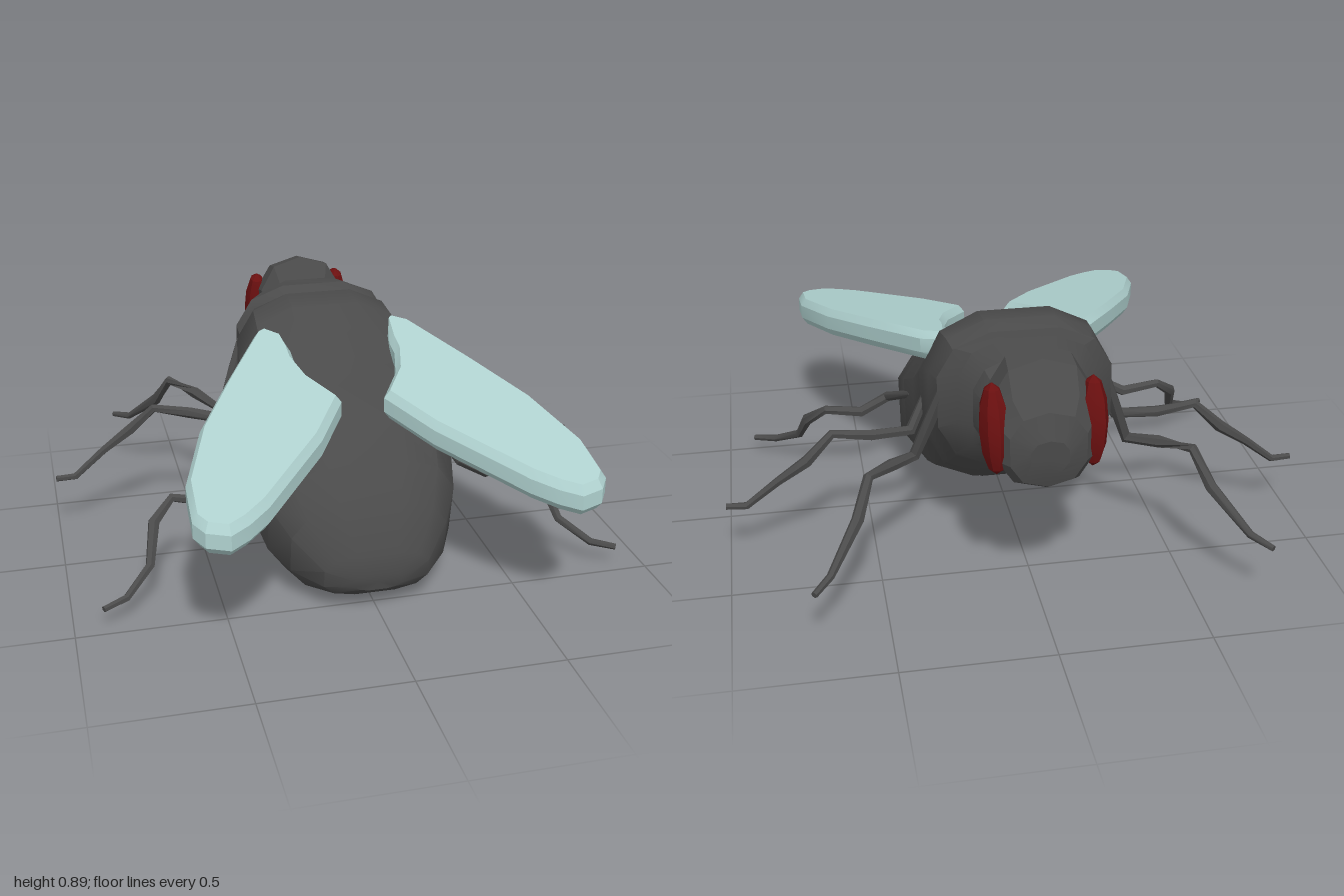
import * as THREE from 'three';
import { toCreasedNormals } from 'three/addons/utils/BufferGeometryUtils.js';

const bodyMat = new THREE.MeshStandardMaterial({ color: 0x4a4a4a });
const eyeMat = new THREE.MeshStandardMaterial({ color: 0x6b1010 });
const wingMat = new THREE.MeshStandardMaterial({ color: 0xb0d2d0 });

function add(parent, name, geometry, material) {
  const mesh = new THREE.Mesh(geometry, material);
  mesh.name = name;
  parent.add(mesh);
  return mesh;
}

// Skin closed rings of equal point count, with a fan cap on both ends
function loft(rings, crease) {
  const n = rings[0].length, pos = [], idx = [];
  rings.forEach(r => r.forEach(p => pos.push(p.x, p.y, p.z)));
  for (let i = 0; i < rings.length - 1; i++) {
    for (let j = 0; j < n; j++) {
      const k = (j + 1) % n, a = i * n, b = a + n;
      idx.push(a + j, b + j, b + k, a + j, b + k, a + k);
    }
  }
  [0, rings.length - 1].forEach((i, end) => {
    const c = new THREE.Vector3();
    rings[i].forEach(p => c.addScaledVector(p, 1 / n));
    const ci = pos.length / 3;
    pos.push(c.x, c.y, c.z);
    for (let j = 0; j < n; j++) {
      const k = (j + 1) % n;
      idx.push(ci, i * n + (end ? k : j), i * n + (end ? j : k));
    }
  });
  const g = new THREE.BufferGeometry();
  g.setAttribute('position', new THREE.Float32BufferAttribute(pos, 3));
  g.setIndex(idx);
  return toCreasedNormals(g, crease);
}

// Rounded-square section: top z, top y, bottom z, bottom y, half width
function section([tz, ty, bz, by, w], n, e) {
  const soft = v => Math.sign(v) * Math.abs(v) ** e;
  const max = soft(Math.cos(Math.PI / n));
  return Array.from({ length: n }, (_, j) => {
    const a = (j + 0.5) / n * Math.PI * 2;
    const s = (soft(Math.sin(a)) / max + 1) / 2;
    return new THREE.Vector3(w * soft(Math.cos(a)) / max, by + (ty - by) * s, bz + (tz - bz) * s);
  });
}

// Six-sided limb through points of x, y, z, radius
function limb(points) {
  const p = points.map(q => new THREE.Vector3(q[0], q[1], q[2]));
  const rings = p.map((c, i) => {
    const before = p[Math.max(i - 1, 0)], after = p[Math.min(i + 1, p.length - 1)];
    const d1 = c.clone().sub(before).normalize(), d2 = after.clone().sub(c).normalize();
    const t = d1.add(d2).normalize();
    const u = new THREE.Vector3(0.35, 0.1, 0.93).cross(t).normalize();
    const v = u.clone().cross(t);
    return Array.from({ length: 6 }, (_, j) => {
      const a = j / 6 * Math.PI * 2, r = points[i][3];
      return c.clone().addScaledVector(u, r * Math.cos(a)).addScaledVector(v, r * Math.sin(a));
    });
  });
  return loft(rings, 0.7);
}

const BODY = [
  [0.572, 0.14, 0.565, 0.08, 0.08],
  [0.56, 0.21, 0.52, 0.045, 0.18],
  [0.47, 0.35, 0.40, 0.003, 0.27],
  [0.38, 0.46, 0.28, 0.0, 0.325],
  [0.25, 0.55, 0.14, 0.06, 0.355],
  [0.09, 0.63, -0.02, 0.115, 0.35],
  [-0.02, 0.69, -0.12, 0.15, 0.33],
  [-0.10, 0.75, -0.20, 0.23, 0.315],
  [-0.20, 0.83, -0.27, 0.235, 0.315],
  [-0.31, 0.845, -0.34, 0.29, 0.305],
  [-0.38, 0.82, -0.40, 0.35, 0.285],
  [-0.41, 0.845, -0.43, 0.38, 0.29],
  [-0.47, 0.845, -0.48, 0.44, 0.23],
  [-0.50, 0.79, -0.50, 0.46, 0.185],
  [-0.56, 0.77, -0.55, 0.49, 0.17],
  [-0.62, 0.74, -0.62, 0.55, 0.10],
];
const HEAD = [
  [-0.55, 0.78, -0.56, 0.53, 0.12],
  [-0.62, 0.88, -0.60, 0.51, 0.155],
  [-0.69, 0.865, -0.70, 0.495, 0.16],
  [-0.75, 0.79, -0.775, 0.48, 0.155],
  [-0.80, 0.74, -0.81, 0.50, 0.12],
  [-0.828, 0.66, -0.825, 0.55, 0.06],
];
const LEGS = {
  frontLeg: [[0.26, 0.69, -0.42, 0.016], [0.31, 0.54, -0.39, 0.022], [0.365, 0.39, -0.36, 0.02],
    [0.45, 0.425, -0.47, 0.021], [0.535, 0.445, -0.57, 0.017], [0.58, 0.34, -0.65, 0.021],
    [0.68, 0.225, -0.78, 0.013], [0.735, 0.21, -0.85, 0.011]],
  middleLeg: [[0.29, 0.53, -0.16, 0.016], [0.36, 0.41, -0.215, 0.02], [0.50, 0.43, -0.265, 0.02],
    [0.63, 0.455, -0.28, 0.016], [0.72, 0.37, -0.30, 0.021], [0.82, 0.30, -0.295, 0.015],
    [0.93, 0.21, -0.285, 0.013], [1.0, 0.21, -0.28, 0.011]],
  hindLeg: [[0.33, 0.44, 0.0, 0.014], [0.40, 0.34, 0.19, 0.018], [0.50, 0.285, 0.19, 0.02],
    [0.63, 0.31, 0.18, 0.016], [0.70, 0.25, 0.23, 0.021], [0.73, 0.14, 0.33, 0.016],
    [0.82, 0.08, 0.42, 0.013], [0.90, 0.07, 0.46, 0.011]],
};
// Wing outline in x and z
const WING = [[0.24, -0.21], [0.30, -0.17], [0.45, 0.10], [0.58, 0.35], [0.665, 0.61], [0.67, 0.77],
  [0.645, 0.81], [0.585, 0.83], [0.53, 0.795], [0.46, 0.73], [0.23, 0.44], [0.12, 0.25],
  [0.195, 0.12], [0.225, 0.0], [0.225, -0.07]];

// Bevelled slab laid flat, then sloped down towards the tail
function wingGeometry(side) {
  const shape = new THREE.Shape(WING.map(([x, z]) => new THREE.Vector2(side > 0 ? x : 0.05 - x, z)));
  const g = new THREE.ExtrudeGeometry(shape, {
    depth: 0.05, bevelEnabled: true, bevelSegments: 1, bevelThickness: 0.027, bevelSize: 0.018,
  });
  const p = g.attributes.position;
  for (let i = 0; i < p.count; i++) {
    const z = p.getY(i), t = p.getZ(i) + 0.027;
    p.setXYZ(i, p.getX(i), 0.72 - 0.236 * z - t, z);
  }
  return toCreasedNormals(g, 0.5);
}

export function createModel() {
  const fly = new THREE.Group();
  fly.name = 'fly';
  add(fly, 'body', loft(BODY.map(r => section(r, 12, 0.72)), 0.6), bodyMat);
  add(fly, 'head', loft(HEAD.map(r => section(r, 10, 0.85)), 0.3), bodyMat);

  for (const side of [1, -1]) {
    const label = side > 0 ? 'left' : 'right';

    // Faceted eye leaning back at the top
    const eye = new THREE.SphereGeometry(1, 8, 6);
    eye.scale(0.048, 0.148, 0.072);
    eye.rotateX(0.18);
    eye.rotateY(side * 0.12);
    eye.translate(side * 0.155, 0.665, -0.722);
    add(fly, label + 'Eye', toCreasedNormals(eye, 0.3), eyeMat);

    add(fly, label + 'Wing', wingGeometry(side), wingMat);

    // Legs; reversed on the mirrored side is not needed as frames are rebuilt
    for (const [name, pts] of Object.entries(LEGS)) {
      add(fly, label + name[0].toUpperCase() + name.slice(1),
        limb(pts.map(([x, y, z, r]) => [side * x, y, z, r])), bodyMat);
    }
  }
  return fly;
}
